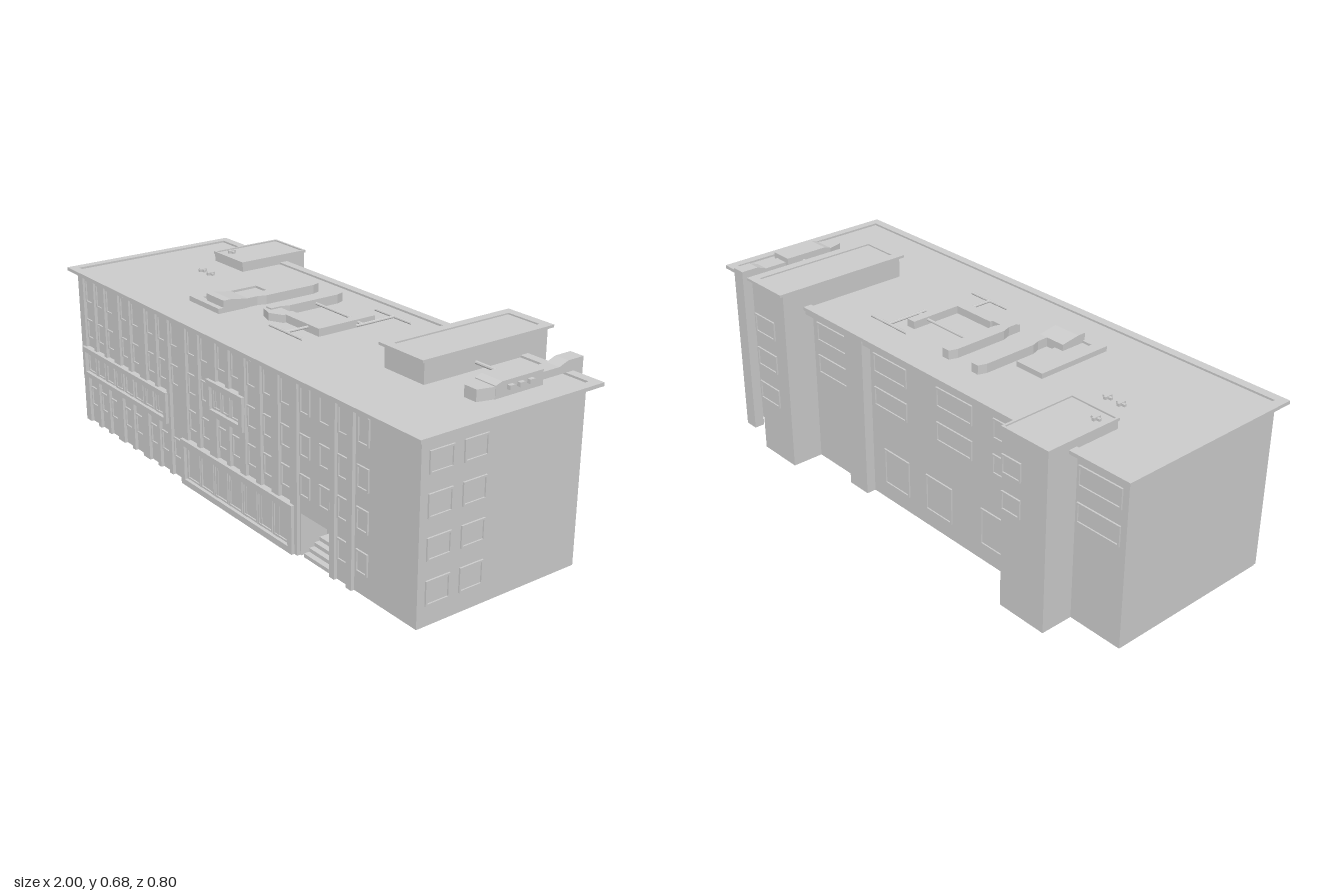
import * as THREE from 'three';

const mat = new THREE.MeshStandardMaterial({ color: 0xcccccc, flatShading: true });

export function createModel() {
  const model = new THREE.Group();
  model.name = 'officeBuilding';

  const add = (name, geo, parent = model) => {
    const m = new THREE.Mesh(geo, mat);
    m.name = name;
    parent.add(m);
    return m;
  };
  // box from its limits on each axis
  const box = (name, x0, x1, y0, y1, z0, z1, parent) => {
    const m = add(name, new THREE.BoxGeometry(x1 - x0, y1 - y0, z1 - z0), parent);
    m.position.set((x0 + x1) / 2, (y0 + y1) / 2, (z0 + z1) / 2);
    return m;
  };
  const polygon = pts => new THREE.Shape(pts.map(p => new THREE.Vector2(...p)));
  const extrude = (shape, depth) => new THREE.ExtrudeGeometry(shape, { depth, bevelEnabled: false });
  const rect = (w, h) => [[-w / 2, -h / 2], [w / 2, -h / 2], [w / 2, h / 2], [-w / 2, h / 2]];
  const ring = (w, h, b, depth) => {
    const s = polygon(rect(w, h));
    s.holes.push(polygon(rect(w - 2 * b, h - 2 * b)));
    return extrude(s, depth);
  };
  // plan polygon [x, z] raised from y0 to y1
  const plan = (name, pts, y0, y1) => {
    const m = add(name, extrude(polygon(pts.map(([x, z]) => [x, -z])), y1 - y0));
    m.rotation.x = -Math.PI / 2;
    m.position.y = y0;
    return m;
  };
  // side profile [z, y] spanning x0 to x1
  const profile = (name, pts, x0, x1) => {
    const m = add(name, extrude(polygon(pts.map(([z, y]) => [-z, y])), x1 - x0));
    m.rotation.y = Math.PI / 2;
    m.position.x = x0;
    return m;
  };
  // framed window facing +z, turned about y
  const windowAt = (x, y, z, w, h, turn = 0) => {
    const g = new THREE.Group();
    g.name = 'window';
    add('windowFrame', ring(w, h, 0.006, 0.006), g);
    box('windowPane', -w / 2 + 0.006, w / 2 - 0.006, -h / 2 + 0.006, h / 2 - 0.006, -0.004, 0.001, g);
    g.position.set(x, y, z);
    g.rotation.y = turn;
    model.add(g);
  };
  // roof plate with a raised border
  const rimRoof = (name, x0, x1, z0, z1, y0, y1, border, drop) => {
    const m = add(name, ring(x1 - x0, z1 - z0, border, y1 - y0));
    m.rotation.x = -Math.PI / 2;
    m.position.set((x0 + x1) / 2, y0, (z0 + z1) / 2);
    box(name + 'Deck', x0 + border, x1 - border, y0, y1 - drop, z0 + border, z1 - border);
  };

  // main block, its front layer notched for the entrance
  box('mainBlock', -0.967, 0.965, 0, 0.592, -0.265, 0.265);
  const front = polygon([[-0.967, 0], [0.42, 0], [0.42, 0.145], [0.575, 0.145], [0.575, 0], [0.965, 0], [0.965, 0.592], [-0.967, 0.592]]);
  add('frontWall', extrude(front, 0.1)).position.z = 0.265;
  for (let i = 0; i < 4; i++) box('entranceStep', 0.435, 0.56, 0, 0.013 * (i + 1), 0.264, 0.365 - i * 0.02);
  box('entranceDoor', 0.45, 0.545, 0.052, 0.135, 0.264, 0.27);
  rimRoof('mainRoof', -1, 1, -0.302, 0.4, 0.59, 0.602, 0.032, 0.007);
  box('frontCornice', -0.967, 0.75, 0.573, 0.59, 0.36, 0.377);
  box('backCornice', -0.58, 0.51, 0.573, 0.59, -0.295, -0.26);

  // front windows and the fins between them
  const rows = [0.107, 0.245, 0.378, 0.525];
  const cols = [-0.898, -0.82, -0.743, -0.64, -0.56, -0.455, -0.377, -0.297, -0.187, -0.107,
    -0.003, 0.075, 0.166, 0.252, 0.348, 0.444, 0.543, 0.631, 0.722];
  rows.forEach((y, r) => cols.forEach((x, c) => {
    if (r === 0 && x > -0.25 && x < 0.56) return;
    if (r === 1 && c < 8) return;
    if (r === 2 && (c === 10 || c === 11)) return;
    windowAt(x, y, 0.365, c % 2 ? 0.05 : 0.054, r === 3 ? 0.088 : 0.074);
  }));
  const fin = (x0, x1) => box('fin', x0, x1, 0, 0.59, 0.36, 0.377);
  fin(-0.965, -0.93);
  for (let c = 0; c < 14; c++) fin(cols[c] + 0.029, cols[c + 1] - 0.029);
  fin(0.378, 0.415);
  fin(0.578, 0.602);
  fin(0.66, 0.685);

  // projecting framed window bands
  const band = (name, x0, x1, y0, y1, border, panes, gap) => {
    const w = x1 - x0, h = y1 - y0, inner = w - 2 * border - 0.01, step = inner / panes;
    add(name, ring(w, h, border, 0.028)).position.set((x0 + x1) / 2, (y0 + y1) / 2, 0.36);
    box(name + 'Panel', x0 + border, x1 - border, y0 + border, y1 - border, 0.36, 0.374);
    for (let i = 0; i < panes; i++) {
      windowAt(x0 + border + 0.005 + (i + 0.5) * step, (y0 + y1) / 2, 0.374, step - gap, h - 2 * border - 0.008);
    }
  };
  band('leftBand', -0.945, -0.34, 0.19, 0.305, 0.018, 8, 0.014);
  band('centreBand', -0.075, 0.135, 0.32, 0.44, 0.02, 3, 0.006);
  band('groundBand', -0.25, 0.4, 0, 0.168, 0.022, 7, 0.006);

  // right end windows
  const sideRows = [[0.107, 0.08], [0.245, 0.072], [0.378, 0.075], [0.509, 0.07]];
  for (const [y, h] of sideRows) for (const z of [0.292, 0.165]) windowAt(0.965, y, z, 0.09, h, Math.PI / 2);

  // back windows
  const back = (x, y, z, w, h) => windowAt(x, y, z, w, h, Math.PI);
  for (const y of [0.51, 0.385]) {
    for (const x of [0.4, 0.085, -0.235, -0.5, -0.86]) back(x, y, -0.265, 0.17, 0.07);
    back(-0.622, y, -0.383, 0.08, 0.065);
  }
  for (const x of [0.06, -0.158, -0.428]) back(x, 0.13, -0.265, 0.13, 0.135);
  for (const y of [0.51, 0.38, 0.245]) {
    back(0.73, y, -0.265, 0.07, 0.07);
    back(0.63, y, -0.383, 0.115, 0.07);
  }

  // back towers and pier
  box('rightTower', 0.51, 0.69, 0, 0.67, -0.383, 0.12);
  rimRoof('rightTowerRoof', 0.5, 0.7, -0.4, 0.135, 0.668, 0.677, 0.032, 0.005);
  box('leftTower', -0.767, -0.58, 0, 0.624, -0.383, -0.102);
  rimRoof('leftTowerRoof', -0.77, -0.577, -0.386, -0.099, 0.622, 0.632, 0.008, 0.005);
  box('backPier', 0.19, 0.285, 0, 0.59, -0.3, -0.26);

  // roof vents
  for (const [x, y, z] of [[-0.675, 0.595, 0.012], [-0.62, 0.595, 0.012], [-0.725, 0.627, -0.15]]) {
    box('ventBar', x - 0.017, x + 0.017, y, y + 0.008, z - 0.005, z + 0.005);
    box('ventCrossBar', x - 0.005, x + 0.005, y, y + 0.01, z - 0.015, z + 0.015);
  }

  // left roof duct
  plan('ductPlinth', [[-0.4, -0.05], [-0.285, -0.05], [-0.285, 0.19], [-0.215, 0.19], [-0.215, 0.24], [-0.4, 0.24]]
    .slice(0, 6), 0.594, 0.605);
  plan('leftDuct', [[-0.4, -0.05], [-0.285, -0.05], [-0.285, -0.01], [-0.36, -0.01], [-0.36, 0.21],
    [-0.215, 0.21], [-0.215, 0.24], [-0.4, 0.24]], 0.6, 0.613);
  profile('ductElbow', [[0.22, 0.595], [0.22, 0.638], [0.19, 0.638], [0.12, 0.627], [0.12, 0.595]], -0.32, -0.215);
  const strip = (name, x, z1) => plan(name, [[x - 0.015, -0.18], [x + 0.015, -0.18], [x + 0.025, -0.15], [x + 0.025, 0.05],
    [x + 0.015, 0.08], [x + 0.015, z1], [x - 0.015, z1], [x - 0.015, 0.08], [x - 0.025, 0.05], [x - 0.025, -0.15]], 0.594, 0.627);
  strip('leftDuctUnit', -0.233, 0.19);

  // middle roof duct and pipes
  strip('middleDuctUnit', -0.095, 0.12);
  plan('middleDuct', [[-0.11, 0.08], [-0.03, 0.08], [-0.03, 0.07], [0.135, 0.07], [0.135, -0.12], [0.17, -0.12],
    [0.17, 0.11], [-0.01, 0.11], [-0.01, 0.12], [-0.06, 0.145], [-0.11, 0.13]], 0.594, 0.622);
  const pipe = (x0, z0, x1, z1, y = 0.612, r = 0.005) => {
    const path = new THREE.LineCurve3(new THREE.Vector3(x0, y, z0), new THREE.Vector3(x1, y, z1));
    add('roofPipe', new THREE.TubeGeometry(path, 1, r, 8));
  };
  pipe(-0.07, -0.06, 0.135, -0.06);
  pipe(0.1, -0.18, 0.285, -0.18);
  pipe(0.195, -0.18, 0.195, -0.02);
  pipe(0.17, -0.05, 0.195, -0.05);
  pipe(0.02, 0.195, 0.2, 0.195);
  pipe(0.11, 0.1, 0.11, 0.195);
  pipe(0.68, -0.085, 0.82, -0.085, 0.62, 0.006);

  // ventilation unit with ports, and the duct running down the back wall
  profile('fanHousing', [[0.035, 0.596], [0.035, 0.637], [0.01, 0.645], [-0.155, 0.645], [-0.155, 0.596]], 0.812, 0.897);
  plan('fanNozzle', [[0.812, 0.03], [0.897, 0.03], [0.88, 0.092], [0.83, 0.092]], 0.596, 0.634);
  for (const z of [-0.02, -0.06, -0.1]) box('fanPort', 0.89, 0.91, 0.617, 0.631, z - 0.01, z + 0.01);
  profile('exhaustDuct', [[-0.15, 0.603], [-0.15, 0.627], [-0.24, 0.627], [-0.275, 0.64], [-0.34, 0.64],
    [-0.34, 0.005], [-0.302, 0.005], [-0.302, 0.603]], 0.827, 0.88);

  return model;
}
